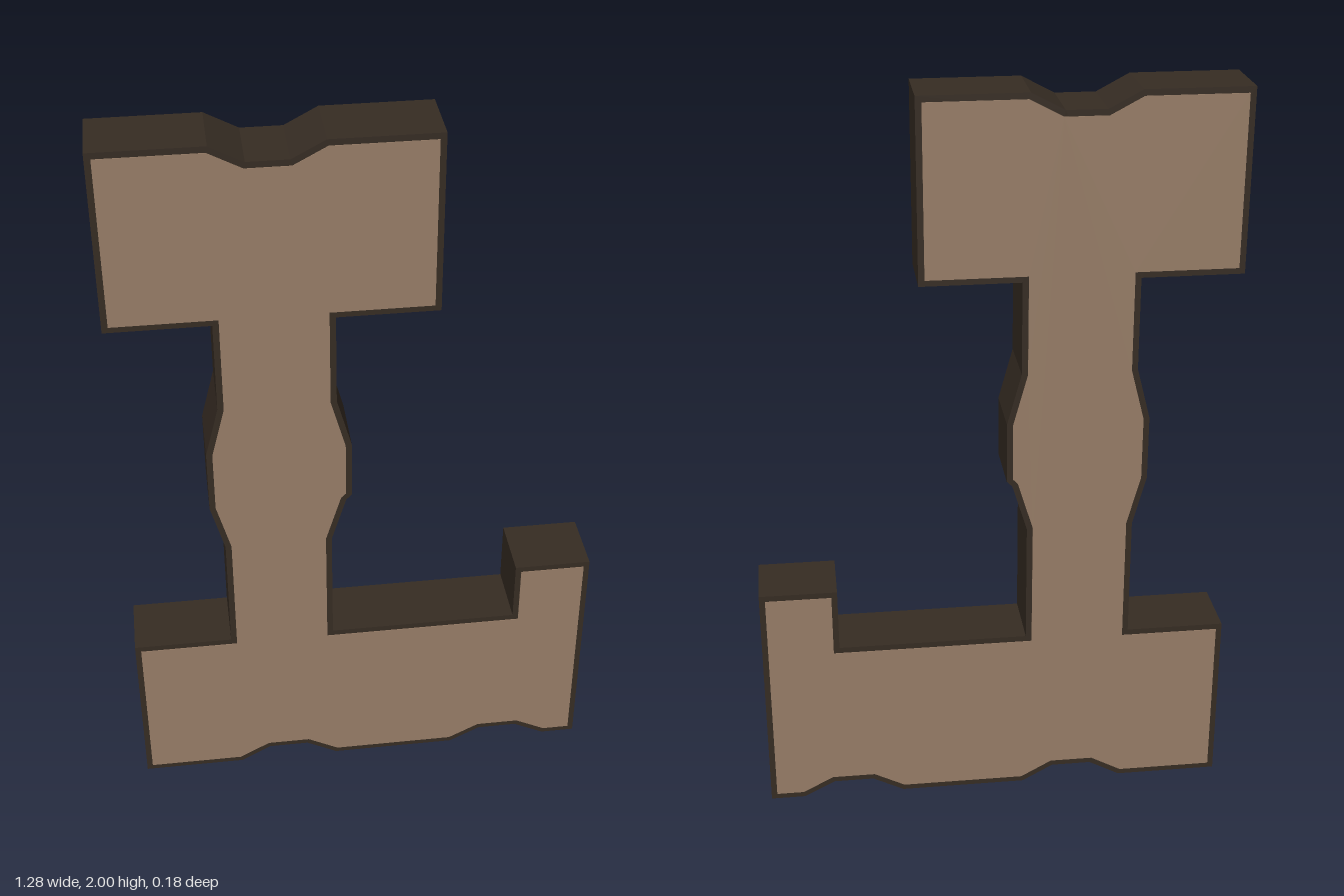
import * as THREE from 'three';

const DEPTH = 0.18;
const RIM = 0.016;

// Outline of the slab, counter-clockwise from the lower left corner
const OUTLINE = [
  // foot with two shallow notches underneath and a raised toe
  [-0.64, 0], [-0.36, 0], [-0.275, 0.047], [-0.165, 0.047], [-0.08, 0],
  [0.265, 0], [0.35, 0.044], [0.46, 0.044], [0.545, 0],
  [0.64, 0], [0.64, 0.66], [0.43, 0.66], [0.43, 0.485], [-0.085, 0.485],
  // right side of the stem with its bulge
  [-0.085, 0.82], [-0.045, 0.95], [-0.03, 0.965], [-0.03, 1.13], [-0.068, 1.27], [-0.068, 1.52],
  // head with a notch on top
  [0.195, 1.52], [0.195, 2], [-0.085, 2], [-0.17, 1.955], [-0.275, 1.955], [-0.36, 2],
  [-0.64, 2], [-0.64, 1.52],
  // left side of the stem
  [-0.372, 1.52], [-0.372, 1.27], [-0.408, 1.13], [-0.408, 0.955], [-0.372, 0.82],
  [-0.372, 0.485], [-0.64, 0.485],
].map(([x, y]) => new THREE.Vector2(x, y));

// Moves every edge inward by d, with mitred corners
function inset(points, d) {
  const n = points.length;
  const normal = (a, b) => {
    const e = b.clone().sub(a).normalize();
    return new THREE.Vector2(-e.y, e.x);
  };
  return points.map((p, i) => {
    const n1 = normal(points[(i + n - 1) % n], p);
    const n2 = normal(p, points[(i + 1) % n]);
    const miter = n1.clone().add(n2);
    return p.clone().addScaledVector(miter, d / (1 + n1.dot(n2)));
  });
}

export function createModel() {
  const group = new THREE.Group();
  group.name = 'notchedSlab';

  const darkBrown = new THREE.MeshStandardMaterial({ color: 0x362c23 });
  darkBrown.name = 'darkBrown';
  const tan = new THREE.MeshStandardMaterial({ color: 0x977d67 });
  tan.name = 'tan';

  // Dark body, whose edge shows as a rim around both faces
  const bodyGeometry = new THREE.ExtrudeGeometry(new THREE.Shape(OUTLINE), {
    depth: DEPTH, bevelEnabled: false,
  });
  bodyGeometry.translate(0, 0, -DEPTH / 2);
  const body = new THREE.Mesh(bodyGeometry, darkBrown);
  body.name = 'body';
  group.add(body);

  // Tan panels on the front and the back
  const panelShape = new THREE.Shape(inset(OUTLINE, RIM));
  for (const side of [1, -1]) {
    const thickness = 0.002;
    const geometry = new THREE.ExtrudeGeometry(panelShape, { depth: thickness, bevelEnabled: false });
    geometry.translate(0, 0, side > 0 ? DEPTH / 2 : -DEPTH / 2 - thickness);
    const panel = new THREE.Mesh(geometry, tan);
    panel.name = side > 0 ? 'frontPanel' : 'backPanel';
    group.add(panel);
  }
  return group;
}
